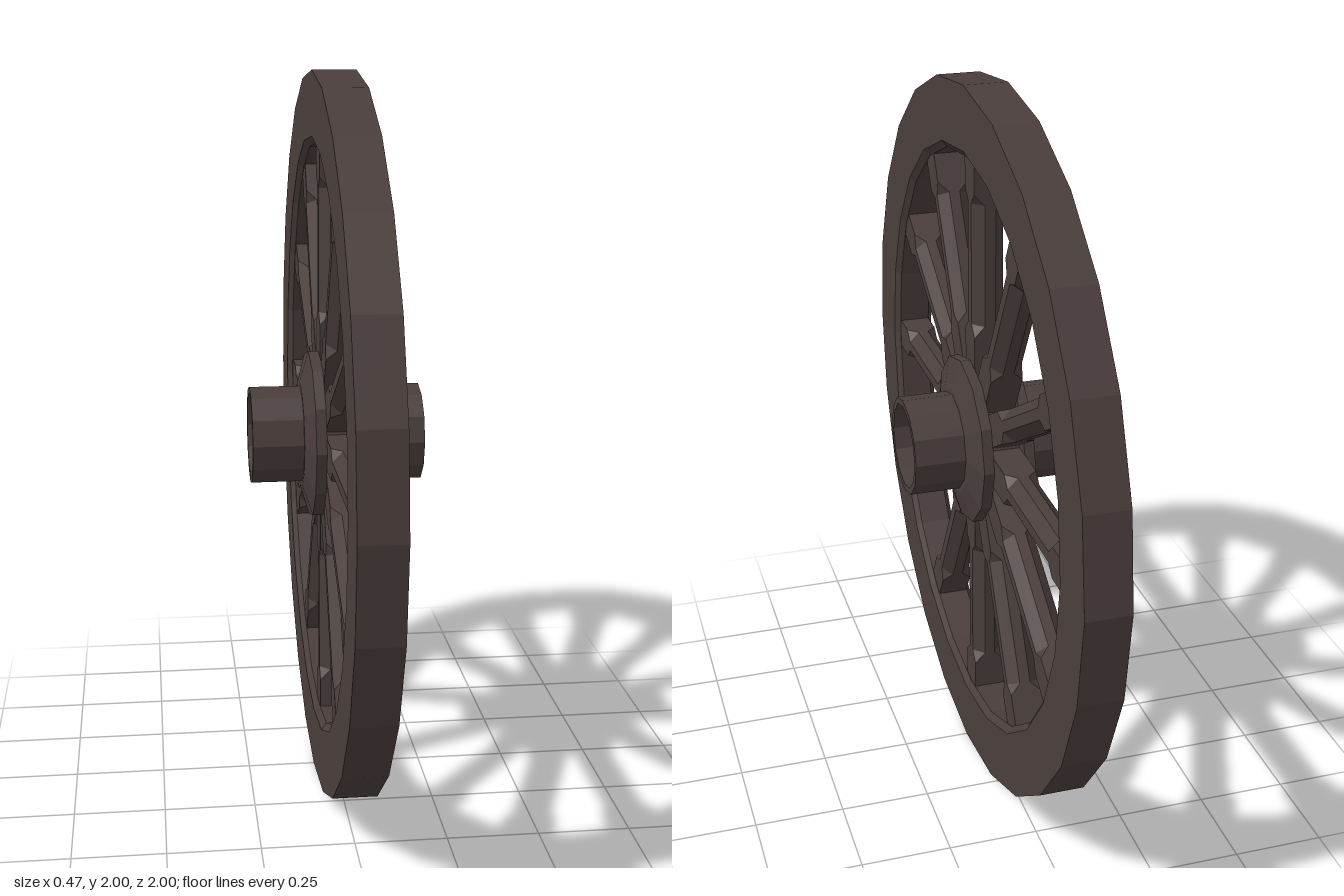
import * as THREE from 'three';

const darkWood = new THREE.MeshStandardMaterial({ color: 0x4a3e3c });

// Gives every facet its own flat normal
function faceted(geometry) {
  const flat = geometry.index ? geometry.toNonIndexed() : geometry;
  flat.computeVertexNormals();
  return flat;
}

// Closed ring around the x axis; profile is [radius, x], outer side with x rising
function ring(name, profile, sides) {
  const points = [...profile, profile[0]].map(([r, x]) => new THREE.Vector2(r, x));
  const geometry = new THREE.LatheGeometry(points, sides);
  geometry.rotateZ(-Math.PI / 2);
  const mesh = new THREE.Mesh(faceted(geometry), darkWood);
  mesh.name = name;
  return mesh;
}

// Square bar along y with stopped chamfers; stations are [radius, half flat width]
function spokeGeometry() {
  const h = 0.044;
  const square = 0.0437;
  const stations = [[0.13, square], [0.32, square], [0.35, 0.015], [0.69, 0.015], [0.72, square], [0.83, square]];
  const loops = stations.map(([y, f]) =>
    [[f, h], [h, f], [h, -f], [f, -h], [-f, -h], [-h, -f], [-h, f], [-f, h]].map(([x, z]) => [x, y, z]));
  const positions = [];
  for (let s = 0; s < loops.length - 1; s++) {
    for (let i = 0; i < 8; i++) {
      const j = (i + 1) % 8;
      const a = loops[s][i], b = loops[s][j], c = loops[s + 1][j], d = loops[s + 1][i];
      positions.push(...a, ...b, ...c, ...a, ...c, ...d);
    }
  }
  const geometry = new THREE.BufferGeometry();
  geometry.setAttribute('position', new THREE.Float32BufferAttribute(positions, 3));
  return faceted(geometry);
}

export function createModel() {
  const wheel = new THREE.Group();
  wheel.name = 'wagonWheel';

  // Rim with small bevels on its inner edges
  const rim = ring('rim', [
    [1, -0.06], [1, 0.06], [0.826, 0.06], [0.808, 0.045], [0.808, -0.045], [0.826, -0.06],
  ], 24);
  rim.position.y = 1;
  wheel.add(rim);

  // Twelve spokes
  const spokes = new THREE.Group();
  spokes.name = 'spokes';
  spokes.position.y = 1;
  const geometry = spokeGeometry();
  for (let i = 0; i < 12; i++) {
    const spoke = new THREE.Mesh(geometry, darkWood);
    spoke.name = 'spoke';
    spoke.rotation.x = (i * Math.PI) / 6;
    spokes.add(spoke);
  }
  wheel.add(spokes);

  // Hub: open axle tube, core between the spokes and a flange on each side
  const hub = new THREE.Group();
  hub.name = 'hub';
  hub.position.y = 1.004;
  hub.add(ring('axleTube', [[0.137, -0.236], [0.137, 0.236], [0.119, 0.236], [0.119, -0.236]], 12));
  hub.add(ring('hubCore', [[0.19, -0.05], [0.19, 0.05], [0.13, 0.05], [0.13, -0.05]], 12));
  const flange = [[0.235, 0.043], [0.235, 0.072], [0.15, 0.096], [0.13, 0.096], [0.13, 0.043]];
  hub.add(ring('leftFlange', flange, 12));
  hub.add(ring('rightFlange', flange.map(([r, x]) => [r, -x]).reverse(), 12));
  wheel.add(hub);

  return wheel;
}
